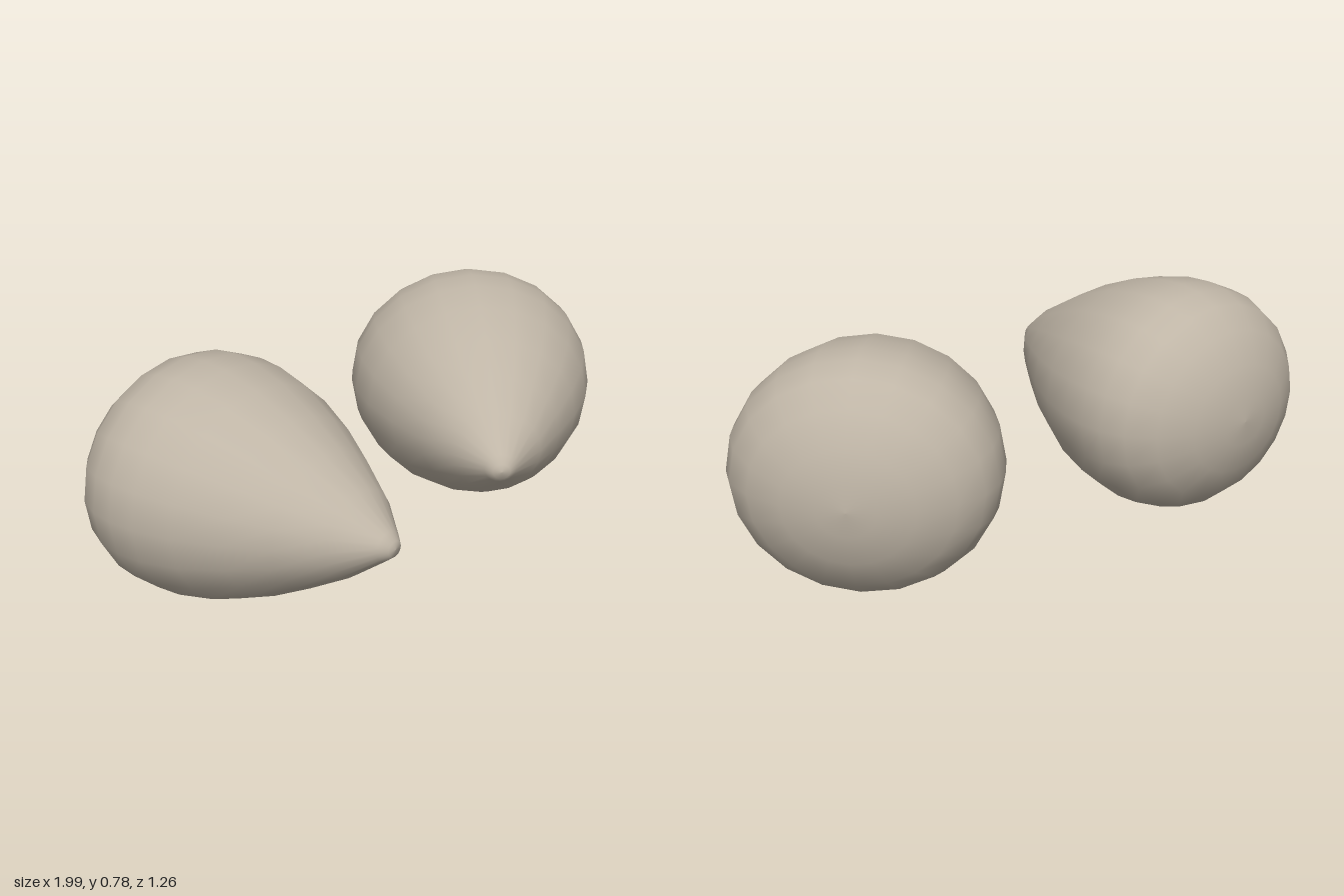
import * as THREE from 'three';

// Teardrop profile: [radius, distance from the tip]
const PROFILE = [
  [0, 0], [0.028, 0.004], [0.052, 0.03], [0.15, 0.144], [0.235, 0.275], [0.312, 0.405],
  [0.378, 0.55], [0.412, 0.68], [0.42, 0.77], [0.412, 0.85], [0.38, 0.93],
  [0.31, 1.005], [0.2, 1.062], [0.09, 1.088], [0, 1.094],
];

export function createModel() {
  const group = new THREE.Group();
  const stone = new THREE.MeshStandardMaterial({ color: 0xbfb5a6 });
  stone.name = 'warm grey';

  // Lathed drop laid on its side, tip forward, slightly flattened in height
  const drop = new THREE.LatheGeometry(PROFILE.map(([r, s]) => new THREE.Vector2(r, s)), 20);
  drop.rotateX(-Math.PI / 2);
  drop.scale(1.02, 0.925, 1);

  // Each drop pivots about its tip
  const addDrop = (name, x, z, degrees) => {
    const mesh = new THREE.Mesh(drop, stone);
    mesh.name = name;
    mesh.position.set(x, 0.389, z);
    mesh.rotation.y = THREE.MathUtils.degToRad(degrees);
    group.add(mesh);
  };
  addDrop('rightTeardrop', -0.35, 0.625, 17);
  addDrop('leftTeardrop', 0.207, 0.405, -28.3);

  return group;
}
